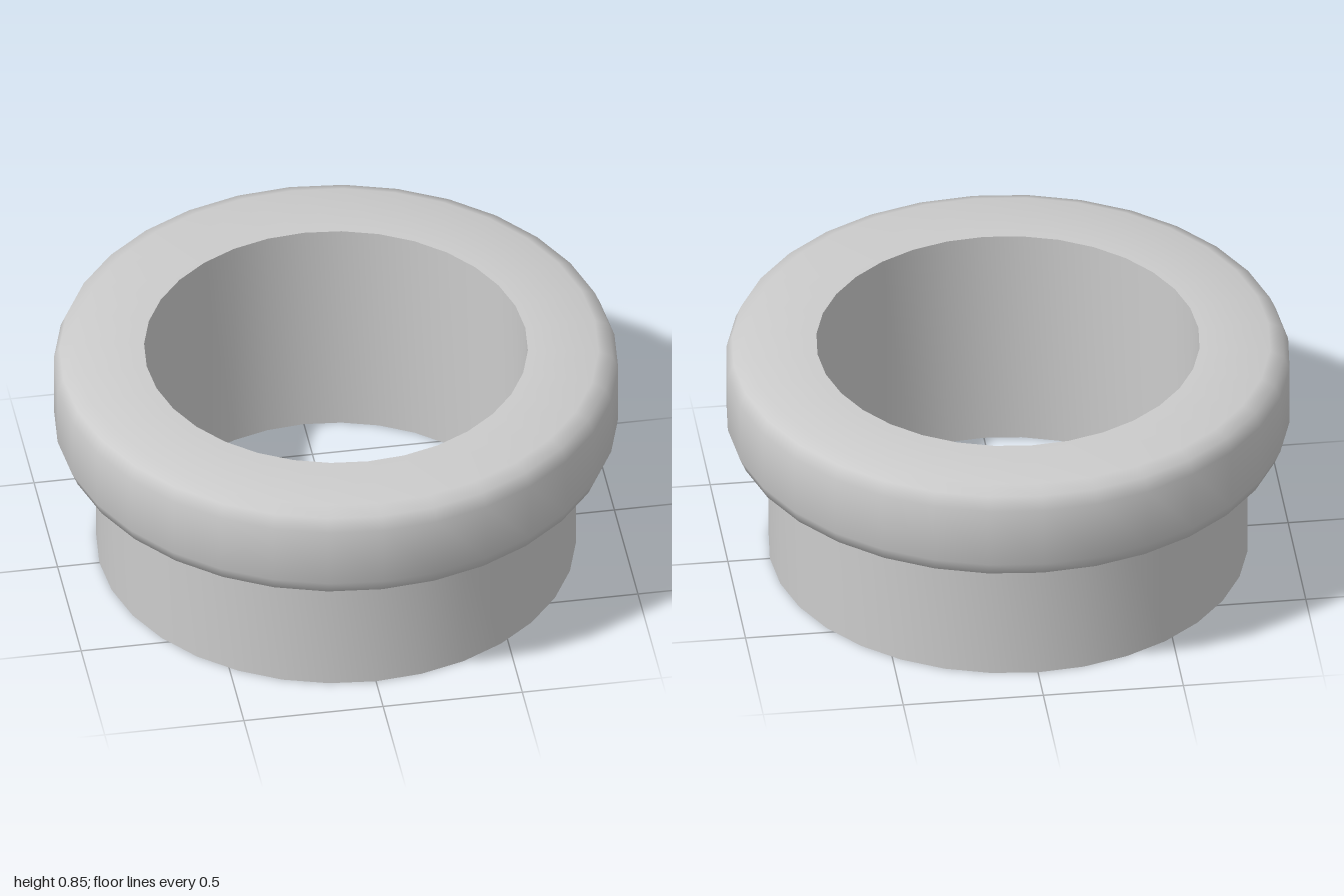
import * as THREE from 'three';
import { toCreasedNormals } from 'three/addons/utils/BufferGeometryUtils.js';

export function createModel() {
  const group = new THREE.Group();
  group.name = 'flangedBushing';

  const bore = 0.68, sleeve = 0.85, rim = 1, height = 0.85, collarBase = 0.485;
  const round = 0.07, steps = 2;

  // Closed wall section, counterclockwise: sleeve, rounded collar, bore
  const profile = [[bore, 0], [sleeve, 0], [sleeve, collarBase]];
  const corner = (cy, from) => {
    for (let i = 0; i <= steps; i++) {
      const a = from + (i / steps) * Math.PI / 2;
      profile.push([rim - round + Math.cos(a) * round, cy + Math.sin(a) * round]);
    }
  };
  corner(collarBase + round, -Math.PI / 2);
  corner(height - round, 0);
  profile.push([bore, height], [bore, 0]);

  // Smooth around the ring, sharp at the flat faces
  const lathe = new THREE.LatheGeometry(profile.map(([x, y]) => new THREE.Vector2(x, y)), 32);
  const ring = new THREE.Mesh(
    toCreasedNormals(lathe, 1),
    new THREE.MeshStandardMaterial({ color: 0xcccccc })
  );
  ring.name = 'collaredRing';
  group.add(ring);
  return group;
}
